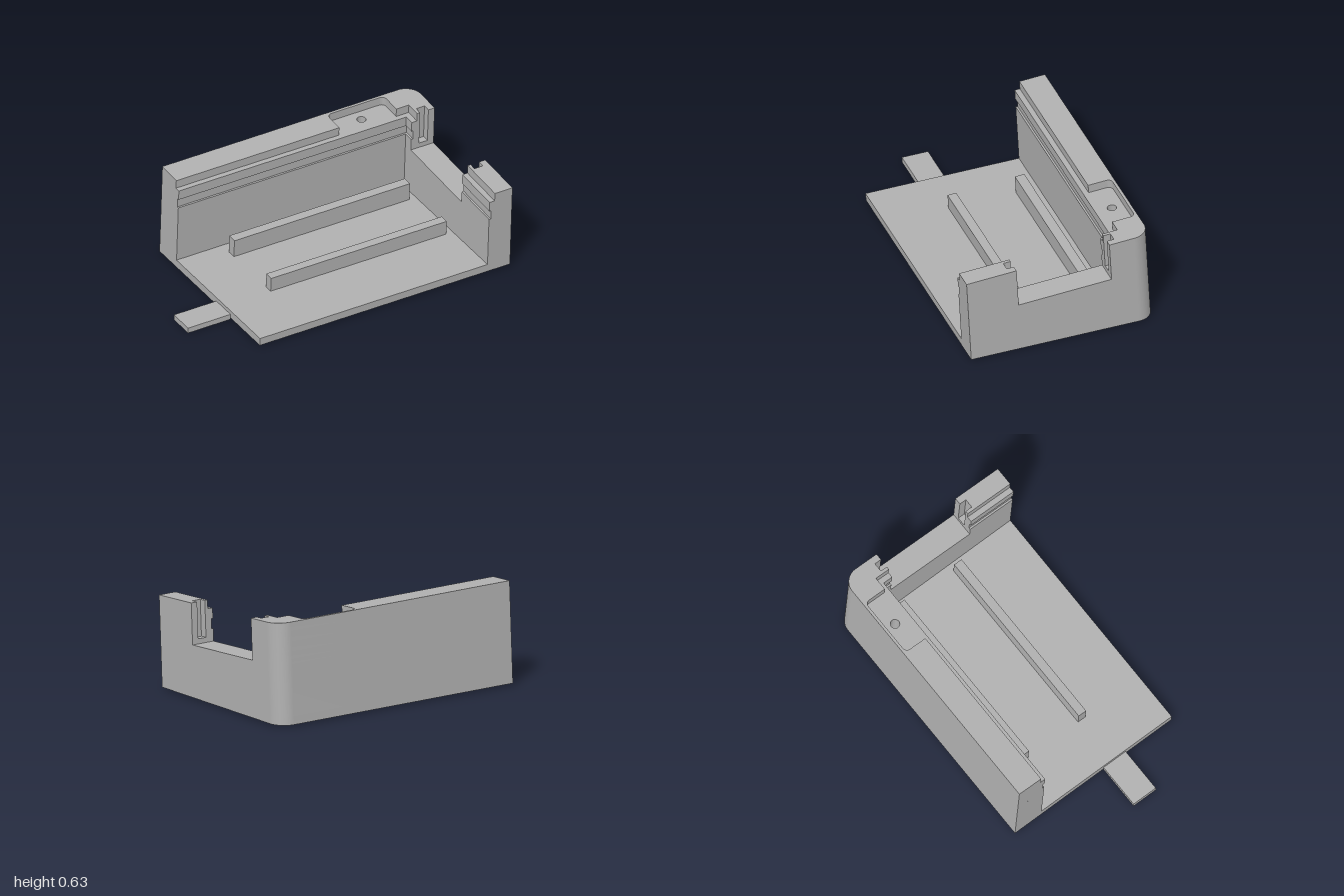
import * as THREE from 'three';
import { toCreasedNormals } from 'three/addons/utils/BufferGeometryUtils.js';

const LEAN = 0.0535;   // the walls tip forward while the underside stays level
const FLOOR = 0.06;
const LEFT = -0.71, RIGHT = 1, BACK = -0.595, FRONT = 0.57;
const RADIUS = 0.1;    // outer back corner

// Plan outline from [x, z] points
function plan(points) {
  return new THREE.Shape(points.map(([x, z]) => new THREE.Vector2(x, -z)));
}

// Outline starting along the back edge and round the outer corner
function backPlan(points) {
  const s = new THREE.Shape();
  s.moveTo(LEFT, -BACK);
  s.lineTo(RIGHT - RADIUS, -BACK);
  s.absarc(RIGHT - RADIUS, -BACK - RADIUS, RADIUS, Math.PI / 2, 0, true);
  points.forEach(([x, z]) => s.lineTo(x, -z));
  s.closePath();
  return s;
}

function drill(shape, r) {
  const hole = new THREE.Path();
  hole.absarc(0.6, 0.505, r, 0, Math.PI * 2, false);
  shape.holes.push(hole);
  return shape;
}

// Extrude a plan between two heights, then tip everything above the floor
function slab(shape, from, to) {
  const g = new THREE.ExtrudeGeometry(shape, { depth: to - from, bevelEnabled: false, curveSegments: 20 });
  g.rotateX(-Math.PI / 2);
  g.translate(0, from, 0);
  const p = g.attributes.position;
  for (let i = 0; i < p.count; i++) {
    const z = p.getZ(i);
    let y = p.getY(i);
    if (y > FLOOR + 0.001) y -= LEAN * (z + LEAN * y);
    p.setXYZ(i, p.getX(i), y, z + LEAN * y);
  }
  return toCreasedNormals(g, 0.5);
}

export function createModel() {
  const group = new THREE.Group();
  const grey = new THREE.MeshStandardMaterial({ color: 0xb0b0b0 });
  grey.name = 'grey plastic';
  const add = (name, geometry) => {
    const mesh = new THREE.Mesh(geometry, grey);
    mesh.name = name;
    group.add(mesh);
  };

  // Floor plate with the counterbore from below
  add('floorPlate', slab(drill(backPlan([[RIGHT, FRONT], [LEFT, FRONT]]), 0.055), 0.01, FLOOR));

  // Lower back and side walls, up to the sill of the side opening
  const inX = 0.845, inZ = -0.4;
  add('lowerWalls', slab(drill(backPlan([
    [RIGHT, FRONT], [inX, FRONT], [inX, inZ], [LEFT, inZ],
  ]), 0.055), FLOOR, 0.344));

  // Upper walls either side of the opening, stacked in layers
  const openBack = -0.336, openFront = 0.253;
  const slotA = 0.9, slotB = 0.957, slotDepth = 0.045;
  const layers = [
    { name: 'sill', from: 0.344, to: 0.375, inX, inZ, bore: 0.055 },
    { name: 'slottedWall', from: 0.375, to: 0.42, inX, inZ, slot: true, bore: 0.028 },
    { name: 'groove', from: 0.42, to: 0.48, inX: inX + 0.012, inZ: inZ - 0.012, slot: true, bore: 0.028 },
    { name: 'ledge', from: 0.48, to: 0.544, inX, inZ, slot: true, bore: 0.028 },
    { name: 'lip', from: 0.544, to: 0.598, inX: 0.88, inZ: -0.433, slot: true, pocket: true },
  ];
  for (const l of layers) {
    const slot = (z, d) => l.slot ? [[slotB, z], [slotB, z + d], [slotA, z + d], [slotA, z]] : [];
    // Screw pocket, open towards the inside
    const pocket = [];
    if (l.pocket) {
      const r = 0.03, zb = -0.578, a = 0.405, b = 0.795;
      pocket.push([b, l.inZ]);
      for (let i = 0; i <= 6; i++) {
        const t = i / 6 * Math.PI / 2;
        pocket.push([b - r + r * Math.cos(t), zb + r - r * Math.sin(t)]);
      }
      for (let i = 0; i <= 6; i++) {
        const t = i / 6 * Math.PI / 2;
        pocket.push([a + r - r * Math.sin(t), zb + r - r * Math.cos(t)]);
      }
      pocket.push([a, l.inZ]);
    }
    const back = backPlan([
      [RIGHT, openBack], ...slot(openBack, -slotDepth), [l.inX, openBack],
      [l.inX, l.inZ], ...pocket, [LEFT, l.inZ],
    ]);
    if (l.bore) drill(back, l.bore);
    add(l.name + 'Back', slab(back, l.from, l.to));
    add(l.name + 'Front', slab(plan([
      [RIGHT, FRONT], [RIGHT, openFront], ...slot(openFront, slotDepth),
      [l.inX, openFront], [l.inX, FRONT],
    ]), l.from, l.to));
  }

  // Support ribs on the floor
  for (const [z0, z1] of [[0.112, 0.167], [-0.319, -0.26]]) {
    add('supportRib', slab(plan([[-0.4, z1], [0.8, z1], [0.8, z0], [-0.4, z0]]), FLOOR, 0.162));
  }

  // Flat tab on the left of the model as seen from the front
  const tab = new THREE.BoxGeometry(0.29, 0.035, 0.165);
  tab.translate(-0.855, 0.0175, 0.1475);
  add('sideTab', tab);

  return group;
}
